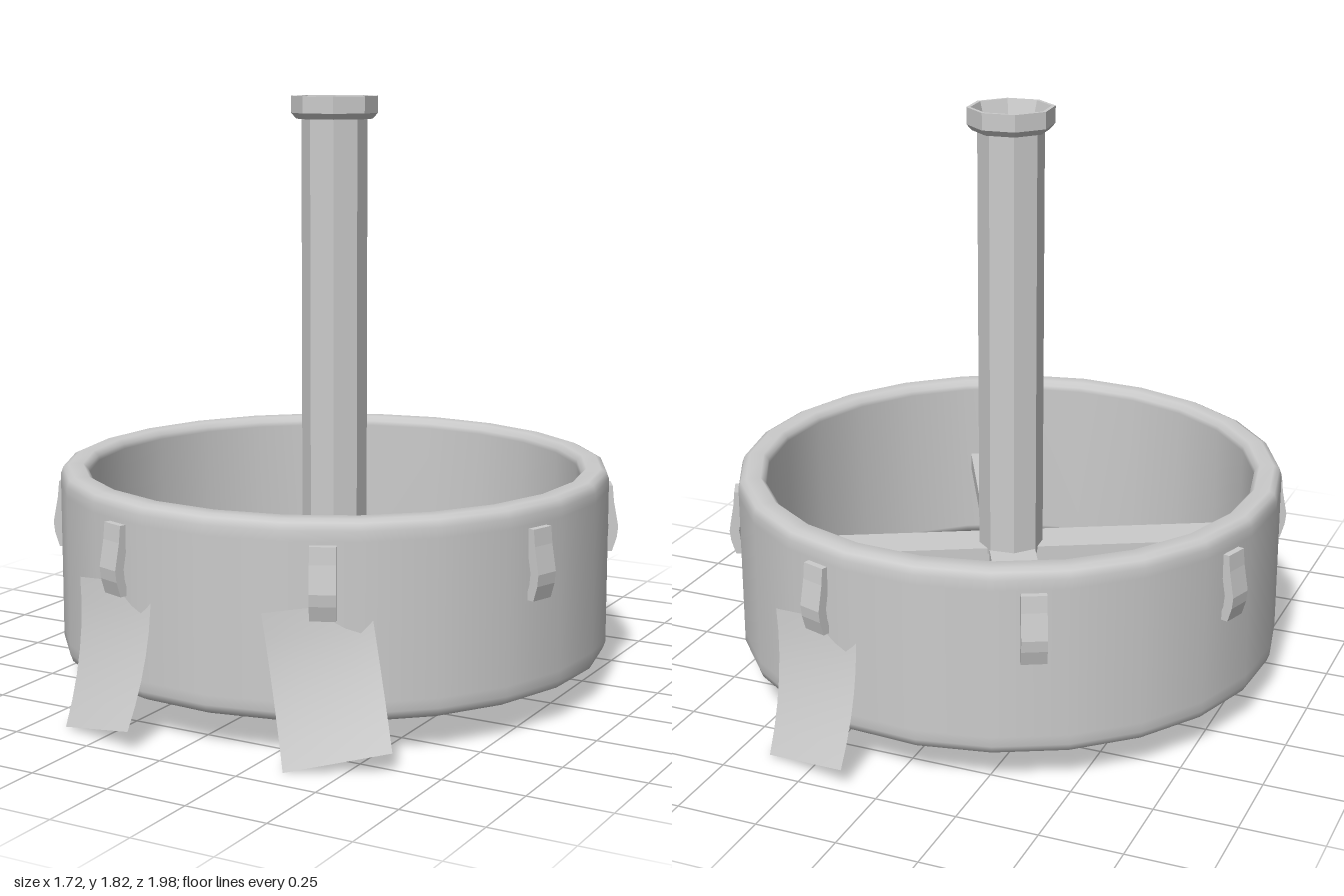
import * as THREE from 'three';

const deg = THREE.MathUtils.degToRad;
const v2 = (x, y) => new THREE.Vector2(x, y);

const smooth = new THREE.MeshStandardMaterial({ color: 0xcccccc });
const faceted = new THREE.MeshStandardMaterial({ color: 0xcccccc, flatShading: true });
const sheet = new THREE.MeshStandardMaterial({ color: 0xcccccc, side: THREE.DoubleSide });

function part(name, geometry, material, angle = 0) {
  const mesh = new THREE.Mesh(geometry, material);
  mesh.name = name;
  mesh.rotation.y = deg(angle); // local +z points outward from the axis
  return mesh;
}

// Thick hoop with rounded rims, profile running up the outside and down the inside
function hoopGeometry() {
  const profile = [
    v2(0.773, 0.4), v2(0.773, 0.14), v2(0.775, 0.125), v2(0.79, 0.11),
    v2(0.835, 0.11), v2(0.852, 0.118), v2(0.86, 0.14), v2(0.86, 0.17),
    v2(0.86, 0.63), v2(0.86, 0.66), v2(0.852, 0.682), v2(0.835, 0.69),
    v2(0.79, 0.69), v2(0.775, 0.675), v2(0.773, 0.66), v2(0.773, 0.4),
  ];
  return new THREE.LatheGeometry(profile, 24, deg(4));
}

// Bent strap: a chevron profile (radius, height) extruded sideways
function strapGeometry() {
  const outer = [v2(0.872, 0.62), v2(0.877, 0.57), v2(0.892, 0.49), v2(0.888, 0.455), v2(0.874, 0.41)];
  const inner = outer.map((p) => v2(p.x - 0.03, p.y)).reverse();
  const geo = new THREE.ExtrudeGeometry(new THREE.Shape([...outer, ...inner]), {
    depth: 0.075, bevelEnabled: false,
  });
  geo.translate(0, 0, -0.0375);
  return geo.rotateY(-Math.PI / 2);
}

// Thin flap, slightly skewed, flaring outward toward its lower edge
function flapGeometry() {
  const geo = new THREE.PlaneGeometry(0.3, 1, 4, 6);
  const pos = geo.attributes.position;
  for (let i = 0; i < pos.count; i++) {
    const s = pos.getX(i);
    const v = 0.5 - pos.getY(i);
    const t = s - 0.02 + 0.065 * v;
    pos.setXYZ(i,
      t,
      0.445 - 0.405 * v + s * (0.1 + 0.1 * v),
      0.85 + 0.035 * v + 0.09 * v * v - 0.1 * t * (1 - v));
  }
  geo.computeVertexNormals();
  return geo;
}

export function createModel() {
  const model = new THREE.Group();
  model.name = 'hoopWithPost';
  model.add(part('hoop', hoopGeometry(), smooth));

  // Crossed spokes
  for (const angle of [27.5, 117.5]) {
    const spoke = part('spoke', new THREE.BoxGeometry(0.145, 0.055, 1.56), faceted, angle);
    spoke.position.y = 0.39;
    model.add(spoke);
  }

  // Octagonal post with an open cup on top
  const post = new THREE.Group();
  post.name = 'post';
  post.position.set(-0.01, 0, -0.015);
  const shaft = part('postShaft', new THREE.CylinderGeometry(0.102, 0.102, 1.37, 8), faceted, 27.5);
  shaft.position.y = 1.085;
  const cup = [
    v2(0.1, 1.757), v2(0.118, 1.757), v2(0.134, 1.775), v2(0.134, 1.827),
    v2(0.122, 1.827), v2(0.108, 1.78), v2(0, 1.775),
  ];
  post.add(shaft, part('postCup', new THREE.LatheGeometry(cup, 8), faceted, 27.5));
  model.add(post);

  // Straps all around the hoop
  const strap = strapGeometry();
  for (let i = 0; i < 8; i++) model.add(part('strap', strap, faceted, -18 + 45 * i));

  // Flaps hanging below three of the straps
  const flap = flapGeometry();
  for (const angle of [-18, 27, 162]) model.add(part('flap', flap, sheet, angle));

  return model;
}
